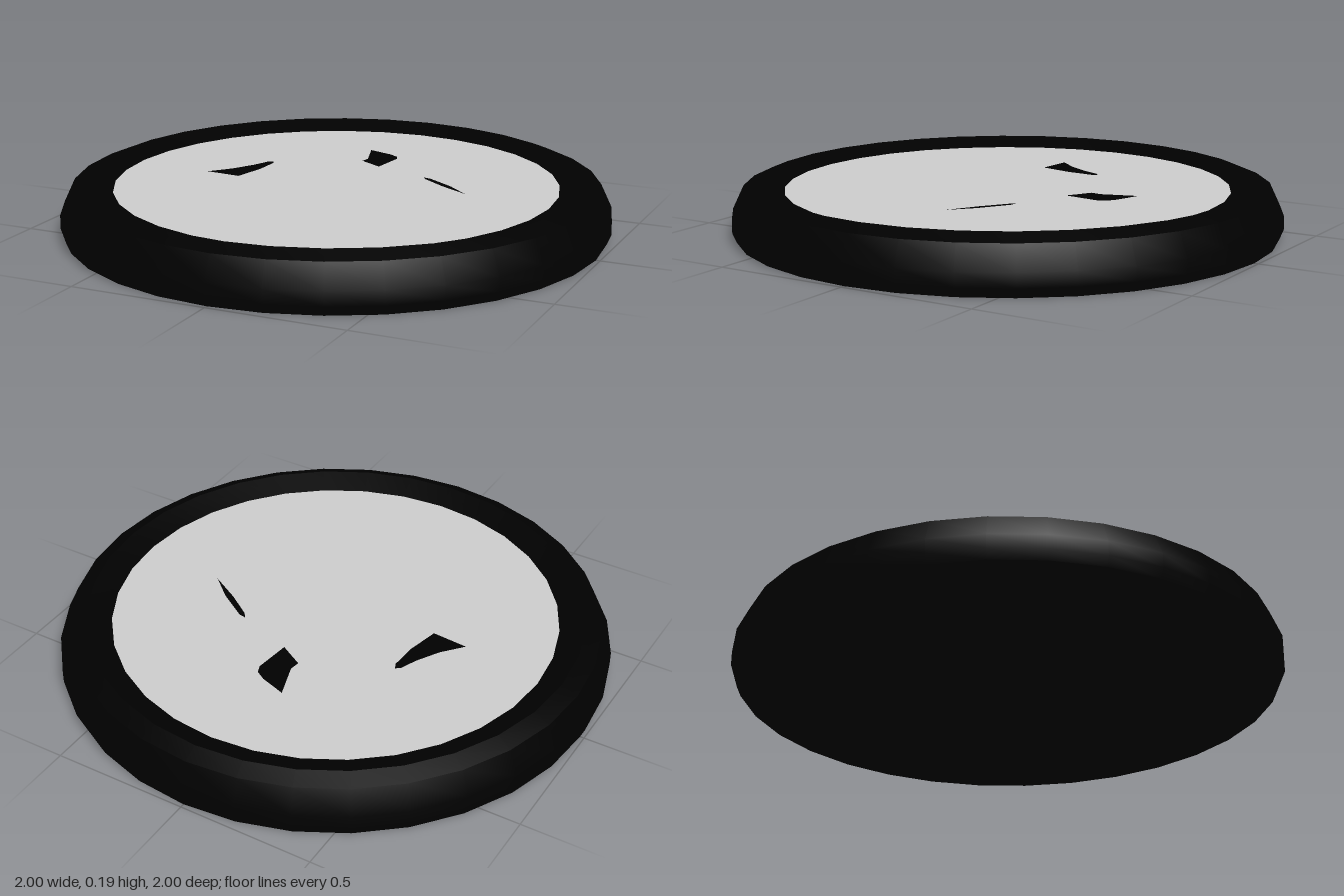
import * as THREE from 'three';
import { toCreasedNormals } from 'three/addons/utils/BufferGeometryUtils.js';

const SIDES = 32;
const FACE_RADIUS = 0.81;
const FACE_Y = 0.163;

const black = new THREE.MeshStandardMaterial({ color: 0x000000 });
const grey = new THREE.MeshStandardMaterial({ color: 0xcccccc });

function add(parent, name, geometry, material) {
  const mesh = new THREE.Mesh(geometry, material);
  mesh.name = name;
  parent.add(mesh);
  return mesh;
}

// Flat shape drawn in plan as [x, z] corners, laid facing up
function flatMark(corners) {
  const shape = new THREE.Shape(corners.map(([x, z]) => new THREE.Vector2(x, -z)));
  return new THREE.ShapeGeometry(shape).rotateX(-Math.PI / 2);
}

export function createModel() {
  const model = new THREE.Group();
  model.name = 'disc';

  // Body: closed base, rounded side and a lip sloping in to the face
  const profile = [
    [0, 0], [0.985, 0], [1, 0.035], [1, 0.085], [0.96, 0.17],
    [0.9, 0.195], [FACE_RADIUS, FACE_Y],
  ].map(([r, y]) => new THREE.Vector2(r, y));
  const body = new THREE.LatheGeometry(profile, SIDES);
  add(model, 'body', toCreasedNormals(body, Math.PI / 5), black);

  // Face: flat plate just inside the lip
  const face = new THREE.CircleGeometry(FACE_RADIUS, SIDES).rotateX(-Math.PI / 2);
  add(model, 'face', face, grey).position.y = FACE_Y;

  // Marks: three thin dark slivers on the face
  const marks = {
    backMark: [[-0.08, -0.495], [0.016, -0.463], [0.053, -0.44], [0.064, -0.41],
      [0.048, -0.275], [-0.043, -0.328], [-0.037, -0.366]],
    rightMark: [[-0.503, 0.056], [-0.439, -0.019], [-0.39, -0.104], [-0.364, -0.168],
      [-0.348, -0.179], [-0.337, -0.158], [-0.342, -0.056], [-0.369, 0.067]],
    leftMark: [[0.262, -0.2], [0.289, -0.195], [0.396, -0.126], [0.481, -0.051],
      [0.369, -0.115], [0.278, -0.179]],
  };
  for (const [name, corners] of Object.entries(marks)) {
    add(model, name, flatMark(corners), black).position.y = FACE_Y + 0.002;
  }

  return model;
}
